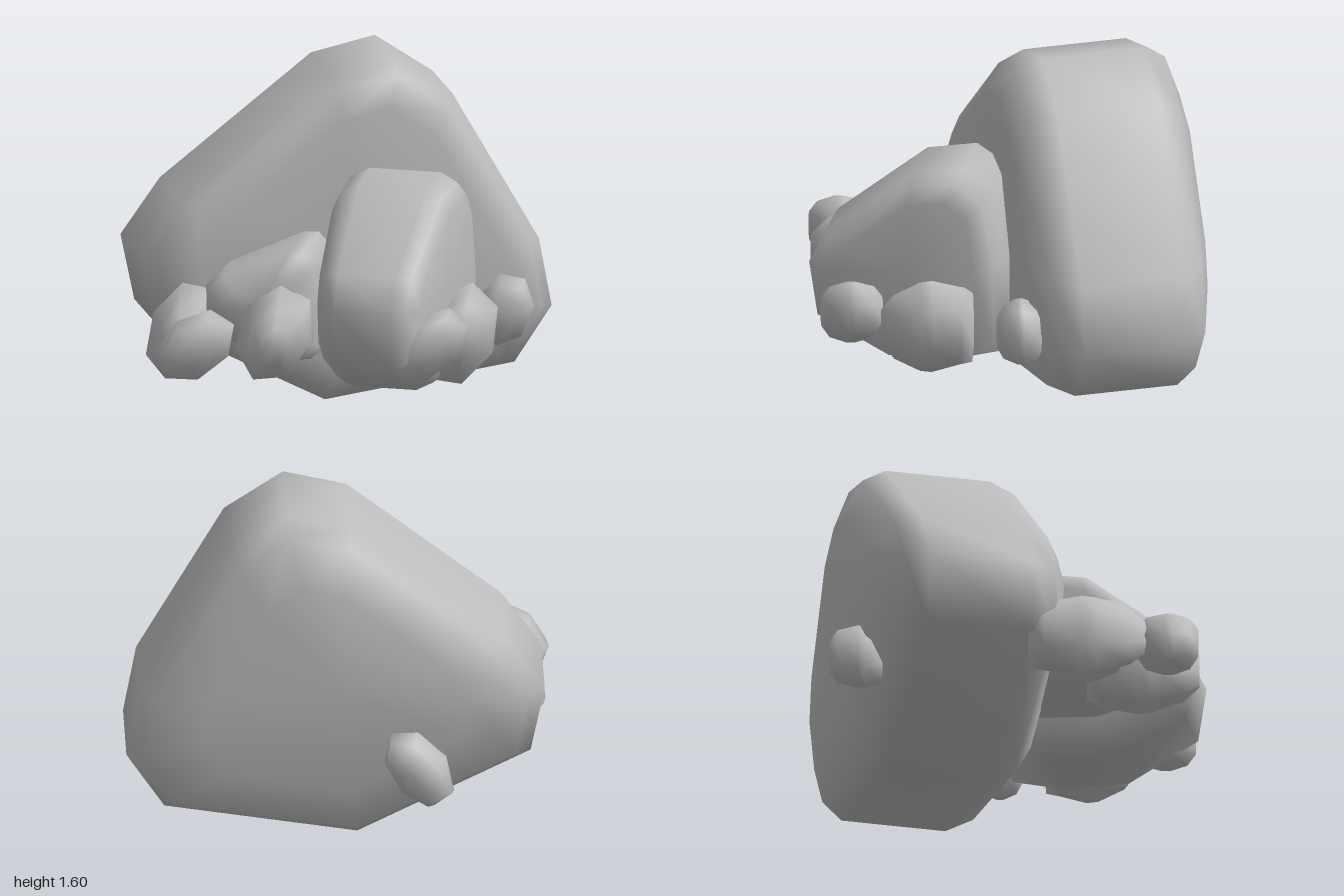
import * as THREE from 'three';

const stone = new THREE.MeshStandardMaterial({ color: 0xbcbcbc });
stone.name = 'grey stone';

// Ring rules from back (-1) to front (1): [depth fraction, outline scale]
const SLAB = [[-1, 0.64], [-0.8, 0.92], [-0.56, 1], [0.56, 1], [0.83, 0.93], [1, 0.76]];
const BLOCK = [[-1, 0.74], [-0.84, 0.92], [-0.56, 1], [0.56, 1], [0.84, 0.92], [1, 0.74]];
const WEDGE = [[-1, 0.85], [-0.7, 0.98], [0.2, 1], [0.7, 0.9], [1, 0.58]];
const LUMP = [[-1, 0.5], [-0.72, 0.85], [-0.1, 1], [0.15, 1], [0.72, 0.82], [1, 0.46]];

// Smooth boulder: an outline in x/y lofted over its depth; pinch thins it towards +x
function boulder(name, outline, depth, steps, pinch = 0) {
  const loop = outline.map(([x, y]) => new THREE.Vector2(x, y));
  const c = new THREE.Box2().setFromPoints(loop).getCenter(new THREE.Vector2());
  const n = loop.length, last = steps.length - 1, pos = [], idx = [];
  for (const [t, s] of steps) {
    for (const p of loop) {
      const dx = (p.x - c.x) * s;
      pos.push(c.x + dx, c.y + (p.y - c.y) * s, t * depth / 2 * (1 - pinch * dx));
    }
  }
  const back = n * steps.length, front = back + 1;
  pos.push(c.x, c.y, -depth / 2, c.x, c.y, depth / 2);
  for (let i = 0; i < n; i++) {
    const j = (i + 1) % n;
    for (let k = 0; k < last; k++) {
      const a = k * n + i, b = k * n + j;
      idx.push(a, b, b + n, a, b + n, a + n);
    }
    idx.push(back, j, i, front, last * n + i, last * n + j);
  }
  const g = new THREE.BufferGeometry();
  g.setAttribute('position', new THREE.Float32BufferAttribute(pos, 3));
  g.setIndex(idx);
  g.computeVertexNormals();
  const mesh = new THREE.Mesh(g, stone);
  mesh.name = name;
  return mesh;
}

// Seven-sided outline for the small stones
function pebbleOutline(width, height, phase) {
  return Array.from({ length: 7 }, (_, i) => {
    const a = phase + i * Math.PI * 2 / 7;
    return [Math.cos(a) * width * 0.53, Math.sin(a) * height * 0.53];
  });
}

// Narrow the front half of a ring rule
const tapered = (steps, taper) => steps.map(([t, s]) => [t, t > 0 ? s * (1 - (1 - taper) * t) : Math.max(s, 1 - taper * 0.25)]);

export function createModel() {
  const group = new THREE.Group();
  group.name = 'rock pile';

  // Tall slab at the back, turned slightly
  const slab = boulder('mainBoulder', [
    [-0.9, 0.4], [-0.1, 0], [0.79, 0.14], [0.965, 0.4], [0.905, 0.72],
    [0.5, 1.42], [0.23, 1.6], [-0.07, 1.53], [-0.78, 0.97], [-0.965, 0.71],
  ], 0.88, SLAB);
  slab.rotation.y = 0.228;
  slab.position.z = -0.343;
  group.add(slab);

  // Sloping block in front, its outline drawn from the side
  const block = boulder('frontBoulder', [
    [-0.45, 0.27], [-0.2, 0.2], [0.1, 0.19], [0.44, 0.36], [0.48, 0.62],
    [0.4, 0.78], [-0.02, 1.11], [-0.25, 1.145], [-0.39, 1.05], [-0.45, 0.7],
  ], 0.56, BLOCK, 0.33);
  block.rotation.y = -Math.PI / 2 - 0.245;
  block.position.set(0.28, 0, 0.42);
  group.add(block);

  // Wedge-shaped stone beside the block
  const wedge = boulder('middleStone', [
    [-0.29, -0.03], [-0.2, -0.17], [0.05, -0.28], [0.2, -0.27], [0.28, -0.2],
    [0.27, 0.2], [0.2, 0.28], [0.13, 0.28], [-0.2, 0.15], [-0.29, 0.06],
  ], 0.56, WEDGE);
  wedge.rotation.y = -0.14;
  wedge.position.set(-0.28, 0.57, 0.32);
  group.add(wedge);

  // Small stones: name, centre, size, tilt, front taper
  const stones = [
    ['rightRearStone', [-0.69, 0.42, 0.36], [0.28, 0.45, 0.55], -0.4, 0.75],
    ['rightFrontStone', [-0.61, 0.43, 0.73], [0.39, 0.27, 0.28], 0.65, 1],
    ['middleFrontStone', [-0.245, 0.465, 0.62], [0.33, 0.45, 0.52], -0.4, 0.8],
    ['leftFrontStone', [0.465, 0.44, 0.73], [0.41, 0.26, 0.28], 0.72, 1],
    ['leftStone', [0.59, 0.415, 0.39], [0.34, 0.48, 0.42], -0.4, 0.8],
    ['leftOuterStone', [0.79, 0.445, -0.03], [0.25, 0.33, 0.21], -0.3, 1],
    ['backStone', [-0.47, 0.415, -0.69], [0.24, 0.4, 0.28], -0.65, 1],
  ];
  stones.forEach(([name, centre, [w, h, d], tilt, taper], i) => {
    const steps = taper < 1 ? tapered(LUMP, taper) : LUMP;
    const mesh = boulder(name, pebbleOutline(w, h, (i + 1) * 0.35), d, steps);
    mesh.position.set(...centre);
    mesh.rotation.z = tilt;
    group.add(mesh);
  });

  return group;
}
